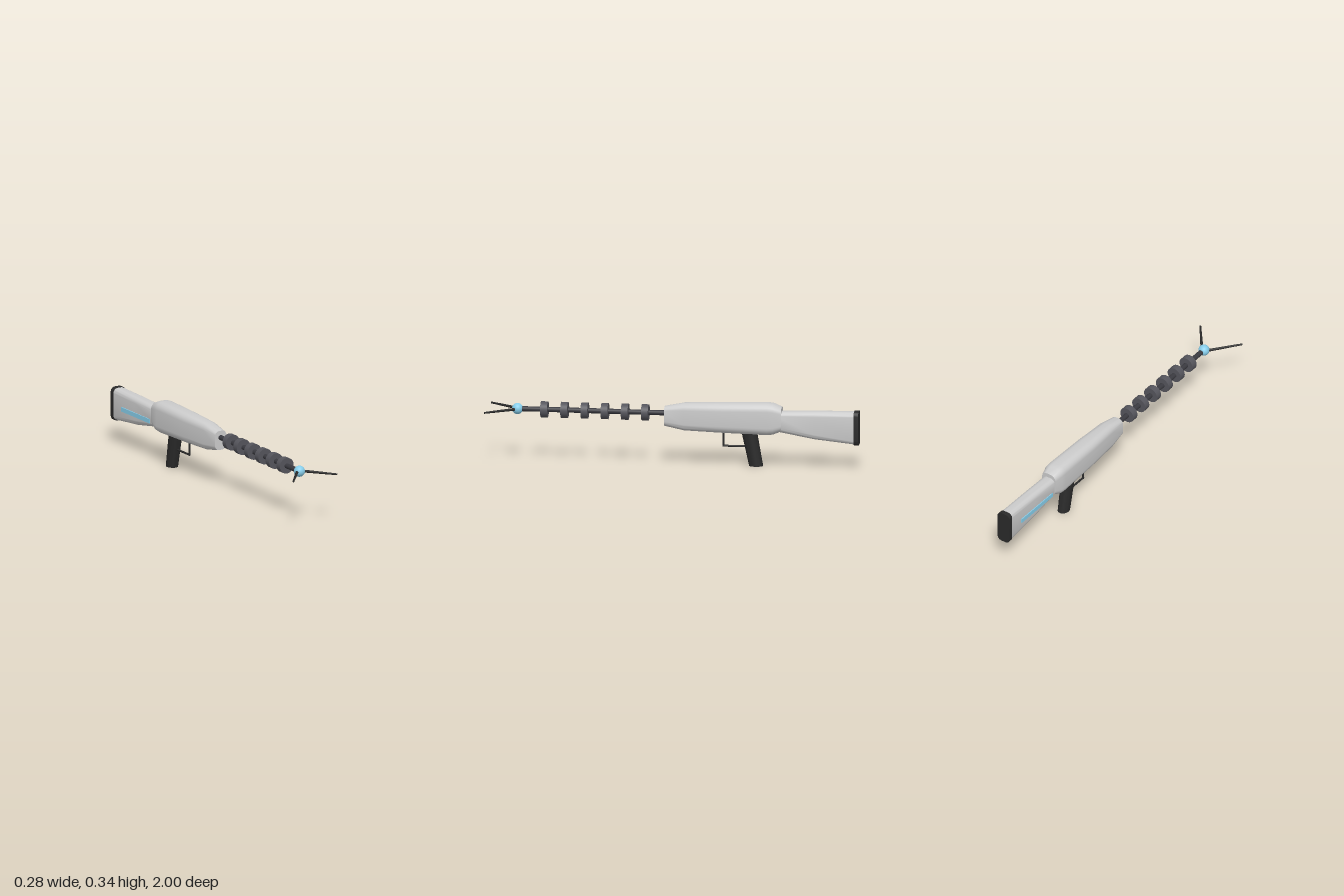
import * as THREE from 'three';
import { toCreasedNormals } from 'three/addons/utils/BufferGeometryUtils.js';

const mat = (color) => new THREE.MeshStandardMaterial({ color });
const AXIS_Y = 0.273; // height of the barrel axis

// Rounded rectangle, counter-clockwise seen from +z
function section([z, halfW, y0, y1, r]) {
  const points = [], steps = 6;
  const cy = (y0 + y1) / 2, ix = halfW - r, iy = (y1 - y0) / 2 - r;
  [[1, 1], [-1, 1], [-1, -1], [1, -1]].forEach(([sx, sy], q) => {
    for (let i = 0; i <= steps; i++) {
      const a = (q + i / steps) * Math.PI / 2;
      points.push([sx * ix + r * Math.cos(a), cy + sy * iy + r * Math.sin(a), z]);
    }
  });
  return points;
}

// Closed skin through sections ordered from front to back
function loft(rows) {
  const rings = rows.map(section), n = rings[0].length, pos = [];
  const tri = (...corners) => corners.forEach((p) => pos.push(...p));
  const mid = ([z, , y0, y1]) => [0, (y0 + y1) / 2, z];
  const last = rings.length - 1;
  for (let j = 0; j < n; j++) {
    const k = (j + 1) % n;
    for (let i = 0; i < last; i++) {
      const a = rings[i][j], b = rings[i][k], c = rings[i + 1][j], d = rings[i + 1][k];
      tri(a, c, b);
      tri(b, c, d);
    }
    tri(mid(rows[0]), rings[0][j], rings[0][k]);
    tri(mid(rows[last]), rings[last][k], rings[last][j]);
  }
  const g = new THREE.BufferGeometry();
  g.setAttribute('position', new THREE.Float32BufferAttribute(pos, 3));
  return toCreasedNormals(g, 0.6);
}

// Round bar from one point to another
function bar(from, to, r0, r1 = r0, sides = 20) {
  const a = new THREE.Vector3(...from), b = new THREE.Vector3(...to);
  const dir = b.clone().sub(a);
  const g = new THREE.CylinderGeometry(r1, r0, dir.length(), sides);
  g.applyQuaternion(new THREE.Quaternion().setFromUnitVectors(new THREE.Vector3(0, 1, 0), dir.normalize()));
  const c = a.add(b).multiplyScalar(0.5);
  return g.translate(c.x, c.y, c.z);
}

export function createModel() {
  const model = new THREE.Group();
  const grey = mat(0xcccccc), black = mat(0x2a2a2a), dark = mat(0x3a3a40);
  const ringGrey = mat(0x55555c), blue = mat(0x87ceeb);
  const add = (name, geometry, material) => {
    const mesh = new THREE.Mesh(geometry, material);
    mesh.name = name;
    model.add(mesh);
    return mesh;
  };

  // Rows: z, half width, bottom, top, corner radius
  add('body', loft([
    [0.045, 0.036, 0.205, 0.31, 0.027],
    [-0.06, 0.046, 0.184, 0.331, 0.035],
    [-0.25, 0.055, 0.178, 0.338, 0.04],
    [-0.51, 0.058, 0.172, 0.345, 0.042],
    [-0.54, 0.056, 0.176, 0.341, 0.04],
    [-0.585, 0.044, 0.194, 0.323, 0.033],
  ]), grey);
  add('stock', loft([
    [-0.57, 0.039, 0.19, 0.3, 0.028],
    [-0.76, 0.038, 0.156, 0.307, 0.028],
    [-0.976, 0.037, 0.134, 0.31, 0.026],
  ]), grey);
  add('buttPad', loft([
    [-0.975, 0.039, 0.13, 0.313, 0.026],
    [-1, 0.039, 0.13, 0.313, 0.026],
  ]), black);

  // Inlay on one side of the stock only
  add('stockStrip', new THREE.BoxGeometry(0.012, 0.024, 0.285), blue).position.set(-0.0365, 0.216, -0.748);

  // Elliptical grip, sheared backwards towards its foot
  const grip = new THREE.CylinderGeometry(1, 0.9, 0.185, 28);
  const p = grip.attributes.position;
  for (let i = 0; i < p.count; i++) {
    const y = p.getY(i) + 0.0925;
    p.setXYZ(i, p.getX(i) * 0.034, y, p.getZ(i) * 0.042 - 0.446 + 0.2 * y);
  }
  add('grip', toCreasedNormals(grip, 0.6), black);

  // Trigger guard
  add('guardPost', bar([0, 0.185, -0.27], [0, 0.1, -0.27], 0.0055, 0.0055, 10), black);
  add('guardRail', bar([0, 0.104, -0.266], [0, 0.104, -0.4], 0.0055, 0.0055, 10), black);

  // Barrel with evenly spaced rings
  add('barrel', bar([0, AXIS_Y, 0.03], [0, AXIS_Y, 0.82], 0.0138), dark);
  for (let i = 0; i < 6; i++) {
    const z = 0.15 + i * 0.1085;
    add('barrelRing', bar([0, AXIS_Y, z - 0.0185], [0, AXIS_Y, z + 0.0185], 0.043, 0.043, 32), ringGrey);
  }

  // Tip ball and forked prongs
  add('tipBall', new THREE.SphereGeometry(0.03, 28, 20), blue).position.set(0, AXIS_Y, 0.838);
  for (const s of [-1, 1]) {
    add('prong', bar([s * 0.008, AXIS_Y, 0.832], [s * 0.137, AXIS_Y, 0.997], 0.008, 0.005, 12), black);
  }
  return model;
}
